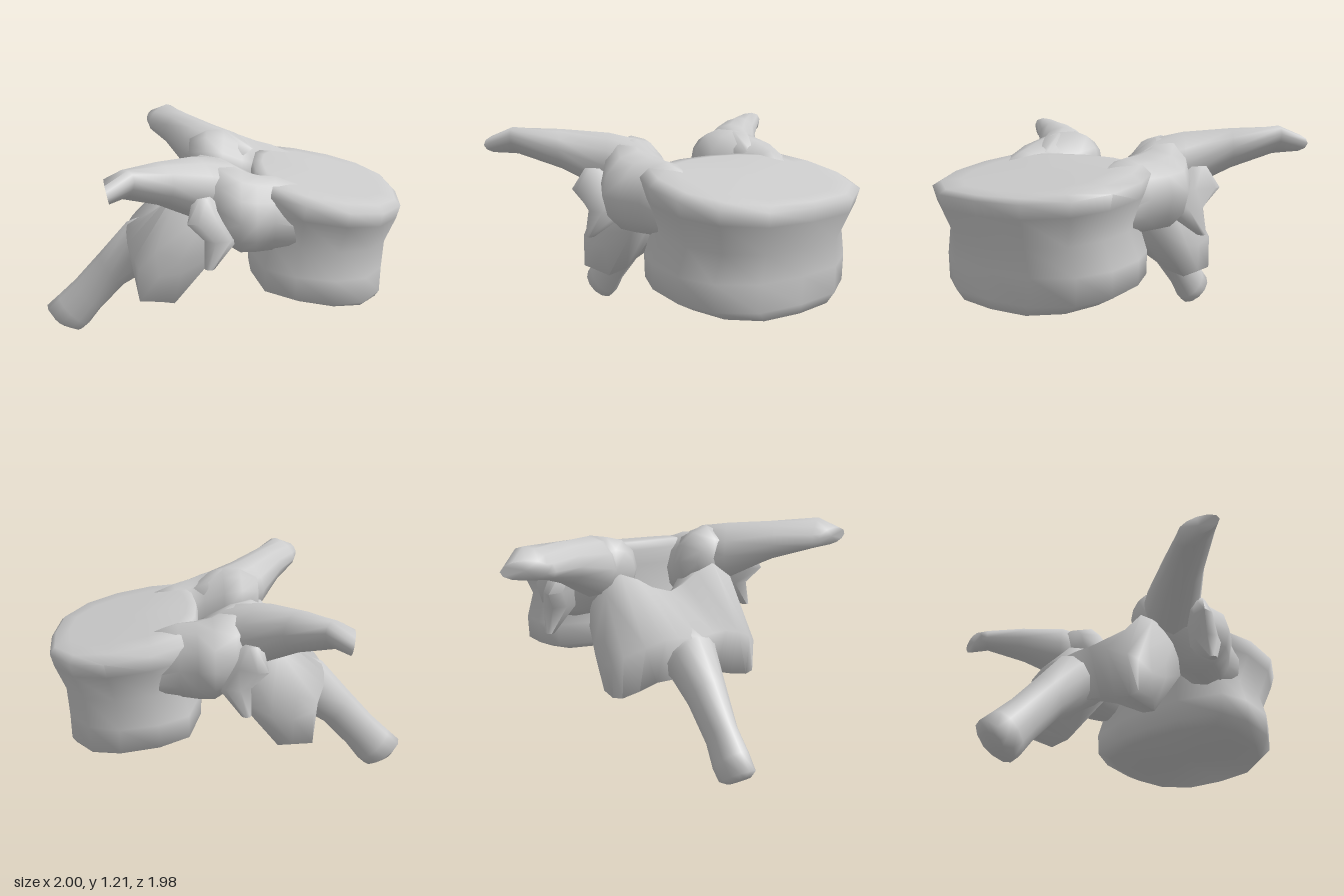
import * as THREE from 'three';
import { toCreasedNormals } from 'three/addons/utils/BufferGeometryUtils.js';

const material = new THREE.MeshStandardMaterial({ color: 0xcccccc });

// Skin a list of equal-length rings of [x, y, z], closing both ends with a fan.
function loft(name, rings) {
  const n = rings[0].length, index = [];
  const pos = rings.flat();
  const mean = (r) => [0, 1, 2].map((k) => r.reduce((s, p) => s + p[k], 0) / n);
  const first = pos.push(mean(rings[0])) - 1;
  const last = pos.push(mean(rings[rings.length - 1])) - 1;
  const base = (rings.length - 1) * n;
  for (let j = 0; j < n; j++) {
    const k = (j + 1) % n;
    for (let i = 0; i < base; i += n) {
      index.push(i + j, i + k, i + n + k, i + j, i + n + k, i + n + j);
    }
    index.push(first, k, j, last, base + j, base + k);
  }
  // Face outwards whichever way the rings run.
  let volume = 0;
  const v = pos.map((p) => new THREE.Vector3(...p));
  for (let i = 0; i < index.length; i += 3) {
    volume += v[index[i]].dot(v[index[i + 1]].clone().cross(v[index[i + 2]]));
  }
  if (volume < 0) index.reverse();
  const geometry = new THREE.BufferGeometry();
  geometry.setAttribute('position', new THREE.Float32BufferAttribute(pos.flat(), 3));
  geometry.setIndex(index);
  const mesh = new THREE.Mesh(toCreasedNormals(geometry, 1.45), material);
  mesh.name = name;
  return mesh;
}

// Elliptical ring around centre c with half-axis vectors a and b.
function oval(c, a, b, n = 12) {
  return Array.from({ length: n }, (_, i) => {
    const t = (i / n) * Math.PI * 2;
    return c.map((v, k) => v + a[k] * Math.cos(t) + b[k] * Math.sin(t));
  });
}

const mirrored = (rings) => rings.map((r) => r.map(([x, y, z]) => [x, y, -z]));

export function createModel() {
  const group = new THREE.Group();
  const pair = (name, rings) => {
    group.add(loft('left' + name, rings), loft('right' + name, mirrored(rings)));
  };

  // Body: one kidney outline repeated at several heights, tilted and waisted
  const half = [[0.02, 0.4], [0.12, 0.88], [0.33, 1], [0.6, 1], [0.82, 0.84], [0.97, 0.49]];
  const outline = [[0, 0], ...half, [1, 0], ...half.map(([u, w]) => [u, -w]).reverse()];
  const levels = [ // back x, front x, half width, back y, front y
    [0.26, 0.9, 0.4, 1.045, 0.92], [0.21, 0.975, 0.52, 1.045, 0.905],
    [0.2, 1.0, 0.578, 1.0, 0.88], [0.2, 0.985, 0.555, 0.91, 0.81],
    [0.21, 0.935, 0.495, 0.74, 0.67], [0.19, 0.925, 0.54, 0.6, 0.53],
    [0.19, 0.925, 0.535, 0.48, 0.39], [0.23, 0.91, 0.45, 0.44, 0.34],
  ];
  group.add(loft('vertebralBody', levels.map(([x0, x1, w, y0, y1]) =>
    outline.map(([u, s]) => [x0 + (x1 - x0) * u, y0 + (y1 - y0) * u, w * s]))));

  // Pedicles: thick bridges from the body, swelling sideways beside the canal
  pair('Pedicle', [
    [0.52, 0.82, 0.34, 0.16, 0.17], [0.32, 0.86, 0.365, 0.195, 0.165],
    [0.23, 0.87, 0.4, 0.2, 0.195], [0.15, 0.885, 0.415, 0.21, 0.22],
    [0.04, 0.93, 0.36, 0.215, 0.21], [-0.06, 0.97, 0.31, 0.18, 0.18],
    [-0.16, 0.98, 0.3, 0.12, 0.11],
  ].map(([x, y, z, h, w]) => oval([x, y, z], [0, h, 0], [0, 0, w])));

  // Transverse processes: deep at the root, swept outwards, with an oblique tip
  pair('TransverseProcess', [
    oval([0.2, 0.92, 0.29], [0.07, 0, 0.06], [0, 0.13, 0]),
    oval([0.05, 0.96, 0.34], [0.12, 0, 0.11], [0, 0.18, 0]),
    oval([-0.09, 1.01, 0.43], [0.12, 0, 0.1], [0, 0.16, 0]),
    oval([-0.25, 1.085, 0.63], [0.09, 0.01, 0.075], [0, 0.105, 0]),
    oval([-0.385, 1.13, 0.815], [0.07, 0.035, 0.08], [0, 0.068, 0]),
    oval([-0.445, 1.115, 0.88], [0.025, 0, 0.11], [-0.01, 0.048, 0]),
  ]);

  // Upper articular processes: thin knobs standing behind the pedicle swelling
  pair('UpperArticularProcess', [
    oval([-0.05, 1.0, 0.54], [0.05, 0, 0.02], [0, 0, 0.07], 8),
    oval([0.0, 0.89, 0.54], [0.1, 0, -0.04], [-0.05, 0, 0.125], 8),
    oval([0.06, 0.79, 0.53], [0.09, 0, 0], [-0.03, 0, 0.11], 8),
    oval([0.0, 0.65, 0.62], [0.025, 0, 0], [0, 0, 0.025], 8),
  ]);

  // Lamina: sloping plate across the back, dropping to two lower lobes
  const side = [ // z, then an xy section: crest, front, under, lobe, heel, back
    [0.43, [-0.29, 0.66], [-0.16, 0.62], [-0.16, 0.54], [-0.27, 0.38], [-0.38, 0.38], [-0.38, 0.56]],
    [0.38, [-0.2, 0.89], [0, 0.88], [0.03, 0.64], [-0.2, 0.35], [-0.39, 0.37], [-0.41, 0.6]],
    [0.28, [-0.18, 0.97], [0.04, 0.93], [0.06, 0.68], [-0.17, 0.38], [-0.39, 0.39], [-0.46, 0.65]],
    [0.18, [-0.17, 0.93], [0.03, 0.86], [0.03, 0.67], [-0.18, 0.45], [-0.39, 0.42], [-0.48, 0.68]],
    [0.1, [-0.18, 0.88], [-0.025, 0.8], [-0.04, 0.65], [-0.23, 0.51], [-0.41, 0.43], [-0.49, 0.68]],
  ].map(([z, ...p]) => p.map(([x, y]) => [x, y, z]));
  const middle = [[-0.2, 0.85, 0], [-0.06, 0.77, 0], [-0.08, 0.65, 0],
    [-0.26, 0.53, 0], [-0.42, 0.44, 0], [-0.5, 0.67, 0]];
  group.add(loft('lamina', [...side, middle, ...mirrored(side).reverse()]));

  // Spinous process: tapering down and back to a blunt end
  group.add(loft('spinousProcess', [
    [-0.33, 0.6, -0.08, 0.12, 0.2], [-0.46, 0.525, -0.045, 0.155, 0.135],
    [-0.6, 0.395, -0.065, 0.1, 0.105], [-0.75, 0.23, -0.07, 0.09, 0.08],
    [-0.84, 0.13, -0.085, 0.09, 0.09], [-0.9, 0.075, -0.1, 0.075, 0.085],
    [-0.92, 0.06, -0.05, 0.04, 0.06],
  ].map(([x, y, bx, by, w]) => oval([x, y, 0], [bx, by, 0], [0, 0, w]))));

  return group;
}
